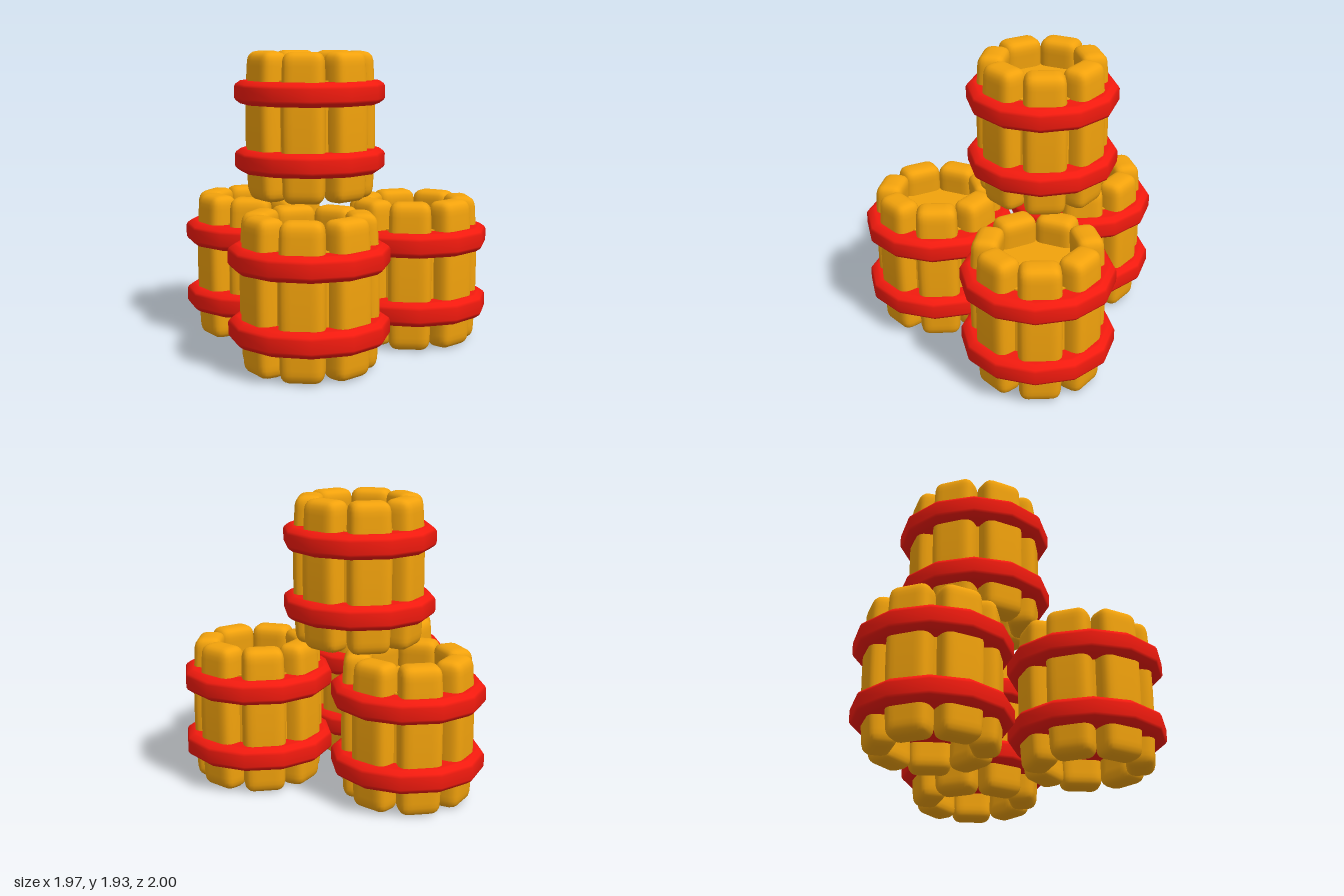
import * as THREE from 'three';
import { mergeVertices } from 'three/addons/utils/BufferGeometryUtils.js';

const STAVES = 7;
const HEIGHT = 0.97;

// Rounded plank, slightly bowed outwards (+x) and narrower at its ends
function staveGeometry() {
  const size = new THREE.Vector3(0.18, HEIGHT, 0.28);
  const round = 0.06;
  let g = new THREE.BoxGeometry(size.x, size.y, size.z, 6, 32, 10);
  g.deleteAttribute('uv');
  g.deleteAttribute('normal');
  g = mergeVertices(g, 1e-4);
  const max = size.clone().multiplyScalar(0.5).subScalar(round);
  const min = max.clone().negate();
  const pos = g.attributes.position;
  const p = new THREE.Vector3();
  const core = new THREE.Vector3();
  for (let i = 0; i < pos.count; i++) {
    p.fromBufferAttribute(pos, i);
    core.copy(p).clamp(min, max);
    p.sub(core).setLength(round).add(core);
    const t = (2 * p.y / HEIGHT) ** 2;
    pos.setXYZ(i, p.x - 0.018 * t, p.y, p.z * (1 - 0.06 * t));
  }
  g.computeVertexNormals();
  return g;
}

// Solid twelve-sided hoop with bevelled rim
function hoopGeometry() {
  const profile = [
    [0, -0.078], [0.44, -0.078], [0.46, -0.076], [0.49, -0.055], [0.5, -0.038],
    [0.5, 0.038], [0.49, 0.055], [0.46, 0.076], [0.44, 0.078], [0, 0.078],
  ].map(([r, y]) => new THREE.Vector2(r, y));
  return new THREE.LatheGeometry(profile, 12);
}

export function createModel() {
  const wood = new THREE.MeshStandardMaterial({ color: 0xf2a20c });
  const red = new THREE.MeshStandardMaterial({ color: 0xf21a0e });
  const stave = staveGeometry();
  const hoop = hoopGeometry();
  const core = new THREE.CylinderGeometry(0.34, 0.34, 0.55, 28);

  function add(parent, name, geometry, material, x, y, z) {
    const mesh = new THREE.Mesh(geometry, material);
    mesh.name = name;
    mesh.position.set(x, y, z);
    parent.add(mesh);
    return mesh;
  }

  function barrel(name, x, y, z) {
    const group = new THREE.Group();
    group.name = name;
    group.position.set(x, y, z);
    // Ring of staves
    for (let i = 0; i < STAVES; i++) {
      const a = Math.PI + (i / STAVES) * Math.PI * 2;
      const s = add(group, 'stave', stave, wood,
        Math.cos(a) * 0.335, HEIGHT / 2, Math.sin(a) * 0.335);
      s.rotation.y = -a;
    }
    // Core whose top is the recessed lid
    add(group, 'lid', core, wood, 0, 0.515, 0);
    add(group, 'lowerHoop', hoop, red, 0, 0.255, 0);
    add(group, 'upperHoop', hoop, red, 0, 0.703, 0);
    return group;
  }

  // Three barrels on the ground and one stacked on top
  const model = new THREE.Group();
  model.name = 'barrelStack';
  model.add(
    barrel('frontBarrel', -0.485, 0, 0.495),
    barrel('sideBarrel', 0.485, 0, 0.24),
    barrel('backBarrel', -0.28, 0, -0.5),
    barrel('topBarrel', -0.105, 0.963, -0.11),
  );
  return model;
}
